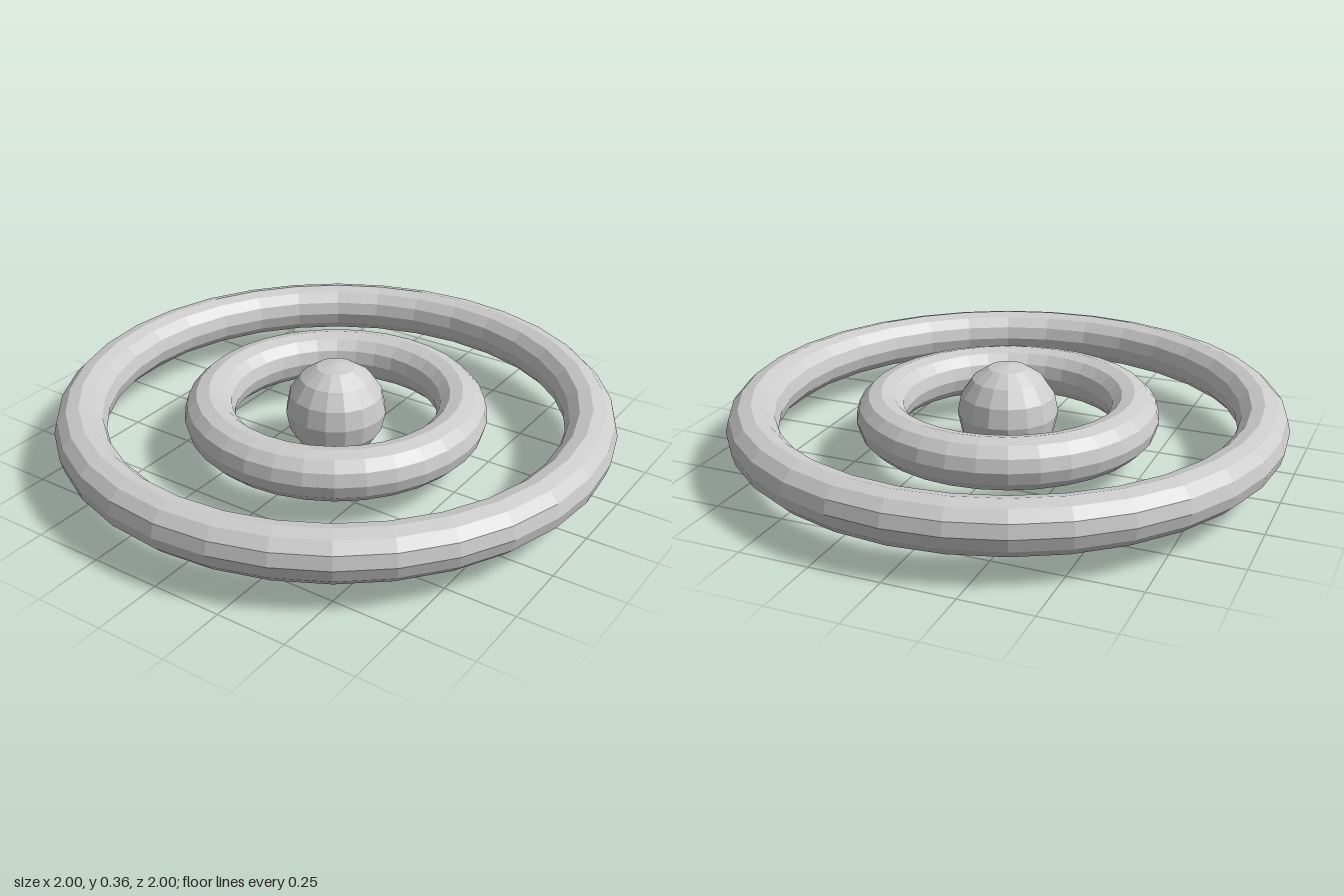
import * as THREE from 'three';

export function createModel() {
  const model = new THREE.Group();
  const grey = new THREE.MeshStandardMaterial({ color: 0xcccccc, flatShading: true });
  grey.name = 'light grey';

  const unit = 1 / 1.1; // outer ring path radius
  const centreY = 0.2 * unit;

  const add = (name, geometry) => {
    const mesh = new THREE.Mesh(geometry, grey);
    mesh.name = name;
    mesh.position.y = centreY;
    model.add(mesh);
  };

  // Flat concentric rings with the same tube thickness
  const ring = (radius) =>
    new THREE.TorusGeometry(radius * unit, 0.1 * unit, 12, 32).rotateX(Math.PI / 2);
  add('outerRing', ring(1));
  add('innerRing', ring(0.5));

  // Ball in the middle
  add('centreBall', new THREE.SphereGeometry(0.2 * unit, 16, 8));

  return model;
}
